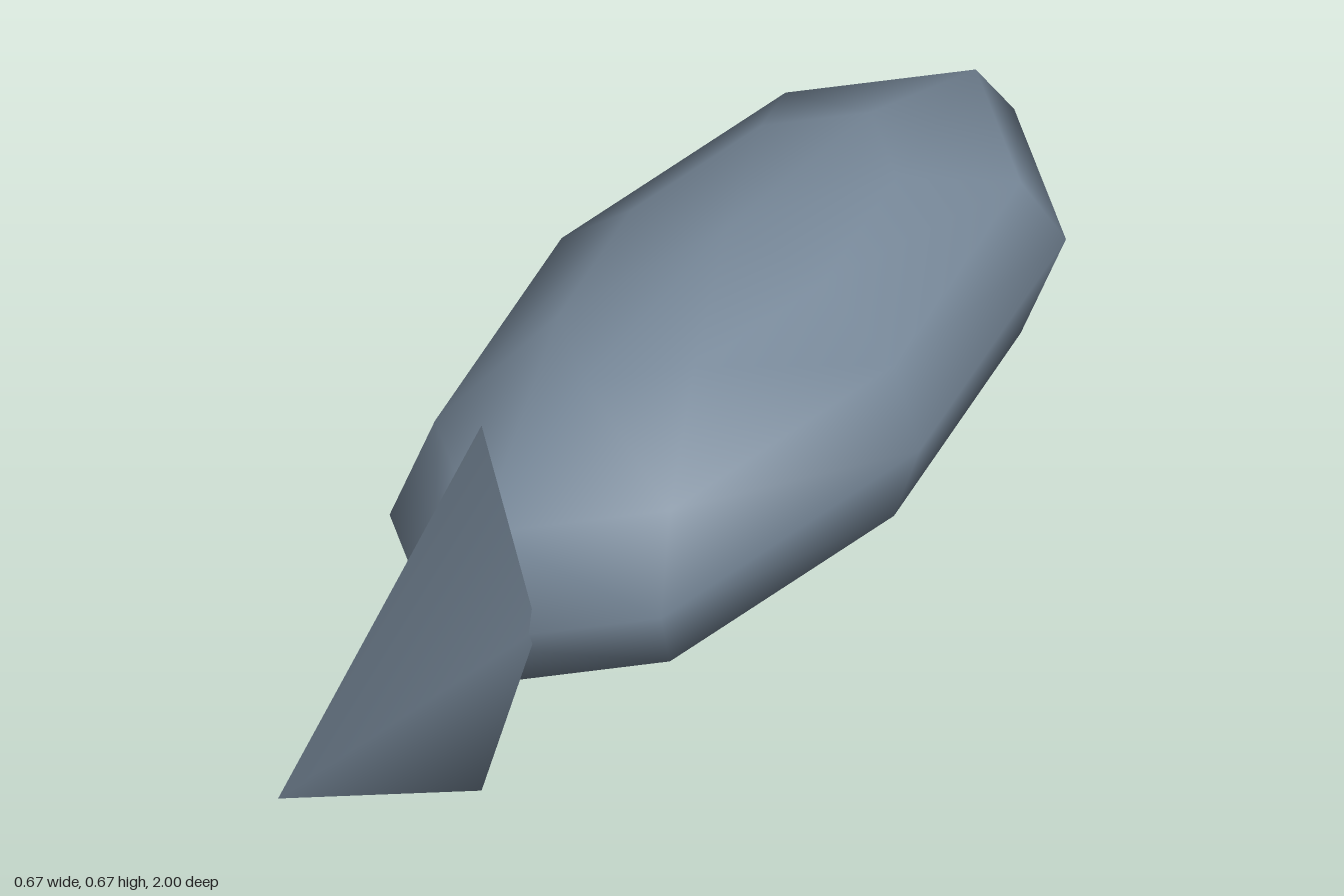
import * as THREE from 'three';

const CENTRE_Y = 0.334;

// Four-sided closed pyramid, softly shaded across shared corners
function finGeometry(halfWidth, halfHeight, baseZ, tipZ) {
  const corners = [[halfWidth, 0, baseZ], [0, halfHeight, baseZ], [-halfWidth, 0, baseZ], [0, -halfHeight, baseZ], [0, 0, tipZ]];
  const faces = [[0, 1, 4], [1, 2, 4], [2, 3, 4], [3, 0, 4], [0, 3, 2, 1]];
  const points = corners.map((c) => new THREE.Vector3(...c));
  const normals = points.map(() => new THREE.Vector3());
  const index = [];
  for (const face of faces) {
    const [a, b, c] = face.map((i) => points[i]);
    const n = b.clone().sub(a).cross(c.clone().sub(a)).normalize();
    face.forEach((i) => normals[i].add(n)); // every face counts equally
    for (let k = 1; k < face.length - 1; k++) index.push(face[0], face[k], face[k + 1]);
  }
  const geometry = new THREE.BufferGeometry().setFromPoints(points);
  geometry.setAttribute('normal', new THREE.Float32BufferAttribute(normals.flatMap((n) => n.normalize().toArray()), 3));
  geometry.setIndex(index);
  return geometry;
}

export function createModel() {
  const group = new THREE.Group();
  const slate = new THREE.MeshStandardMaterial({ color: 0x778899 });
  slate.name = 'slateGrey';

  // Long, low-poly ellipsoid body
  const body = new THREE.Mesh(new THREE.SphereGeometry(1, 8, 6).scale(0.333, 0.275, 0.778), slate);
  body.name = 'body';
  body.position.set(0, CENTRE_Y + 0.001, -0.222);

  // Narrow upright fin with its point at the front
  const fin = new THREE.Mesh(finGeometry(0.097, 0.333, 0.447, 1), slate);
  fin.name = 'tailFin';
  fin.position.y = CENTRE_Y;

  group.add(body, fin);
  return group;
}
